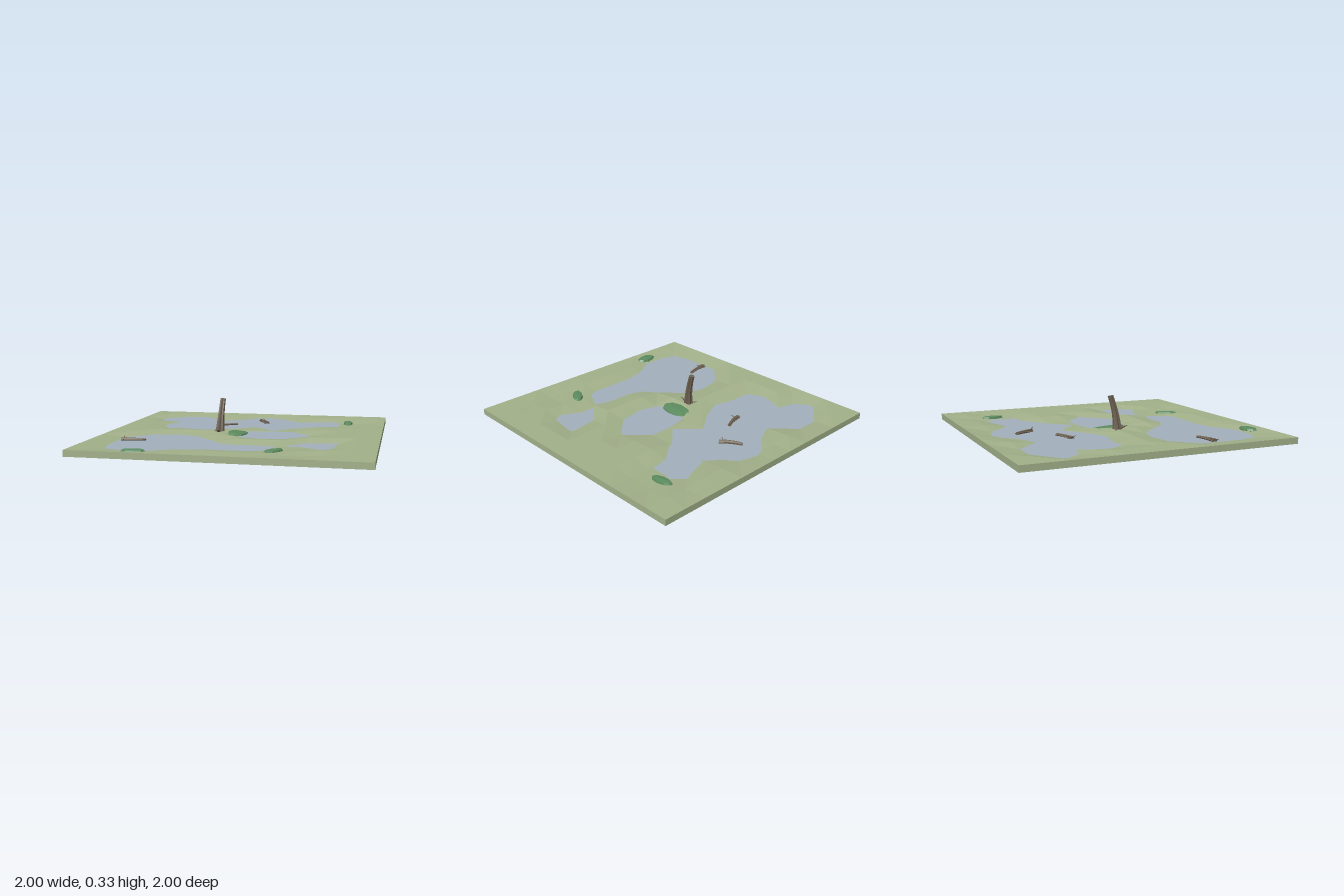
import * as THREE from 'three';

const material = (color, extra = {}) => new THREE.MeshStandardMaterial({ color, flatShading: true, ...extra });
const groundMat = material(0xa3b18a);
const waterMat = material(0xa3b1bd, { side: THREE.DoubleSide });
const rockMat = material(0x5c8c60);
const barkMat = material(0x6e6252);

const TOP = 0.09, BOTTOM = 0.045, STEP = 0.0045;

// Depth of the ground below the rim, one digit per grid corner, back to front
const DEPTHS = [
  '0000000000000',
  '0044035400200',
  '0588458746430',
  '0348888855420',
  '0068874540000',
  '0044533440000',
  '0000008884000',
  '0045404540000',
  '0488840005600',
  '0488875544500',
  '0488655532000',
  '0344100023100',
  '0000000000000',
];

function mesh(name, geometry, mat) {
  const m = new THREE.Mesh(geometry, mat);
  m.name = name;
  return m;
}

// Slab whose top face dips into hollows
function makeGround() {
  const geo = new THREE.BoxGeometry(2, TOP - BOTTOM, 2, 12, 1, 12);
  geo.translate(0, (TOP + BOTTOM) / 2, 0);
  const p = geo.attributes.position;
  for (let i = 0; i < p.count; i++) {
    if (p.getY(i) < TOP - 0.01) continue;
    const col = Math.round((p.getX(i) + 1) * 6), row = Math.round((p.getZ(i) + 1) * 6);
    p.setY(i, TOP - STEP * Number(DEPTHS[row][col]));
  }
  geo.computeVertexNormals();
  return mesh('ground', geo, groundMat);
}

// One level sheet that shows wherever the ground is lower
function makeWater() {
  const geo = new THREE.PlaneGeometry(1.9, 1.9).rotateX(-Math.PI / 2);
  const water = mesh('water', geo, waterMat);
  water.position.y = TOP - 4.15 * STEP;
  return water;
}

// Faceted flat boulder, long along its local z
function makeRock([x, y, z], [rx, ry, rz], turn, tiltX = 0, tiltZ = 0) {
  const profile = [[0, -1], [0.6, -0.85], [1, 0.2], [0.86, 0.8], [0, 1]]
    .map(([r, h]) => new THREE.Vector2(r, h));
  const geo = new THREE.LatheGeometry(profile, 9);
  geo.scale(rx, ry, rz);
  const rock = mesh('mossyRock', geo, rockMat);
  rock.position.set(x, y, z);
  rock.rotation.set(tiltX, turn, tiltZ, 'YXZ');
  return rock;
}

// Bent trunk with ridged bark, flared base and pointed roots
function makeTrunk(name, base, top, size) {
  const group = new THREE.Group();
  group.name = name;
  const height = 0.275;
  const geo = new THREE.CylinderGeometry(1, 1, 1, 14, 5);
  const p = geo.attributes.position;
  for (let i = 0; i < p.count; i++) {
    const t = p.getY(i) + 0.5, x = p.getX(i), z = p.getZ(i);
    const ridge = 1 + 0.13 * Math.cos(7 * Math.atan2(x, z));
    const r = (0.019 + 0.015 * (1 - t) ** 2) * ridge;
    p.setXYZ(i, x * r, t * height, z * r - 0.012 * Math.sin(t * Math.PI) * -1);
  }
  geo.computeVertexNormals();
  group.add(mesh('trunk', geo, barkMat));

  for (const [angle, length] of [[0, 0.085], [2.2, 0.05], [4.2, 0.055]]) {
    const cone = new THREE.ConeGeometry(0.014, length, 6);
    cone.translate(0, length / 2, 0).rotateX(Math.PI / 2 - 0.1);
    cone.translate(0, 0.025, 0.012).rotateY(angle);
    group.add(mesh('root', cone, barkMat));
  }
  const from = new THREE.Vector3(...base);
  const direction = new THREE.Vector3(...top).sub(from).normalize();
  group.quaternion.setFromUnitVectors(new THREE.Vector3(0, 1, 0), direction);
  group.position.copy(from);
  group.scale.setScalar(size);
  return group;
}

export function createModel() {
  const model = new THREE.Group();
  model.name = 'marsh';
  model.add(makeGround(), makeWater());

  // Large central boulder and three small ones
  model.add(
    makeRock([-0.06, 0.051, 0], [0.08, 0.042, 0.14], 0, -0.06, -0.1),
    makeRock([0.71, 0.065, -0.66], [0.038, 0.03, 0.088], 0.12),
    makeRock([0.335, 0.071, 0.71], [0.04, 0.025, 0.09], 2.55),
    makeRock([-0.557, 0.072, 0.9], [0.05, 0.025, 0.088], 1.65),
  );

  // Standing dead trunk and three floating logs
  model.add(
    makeTrunk('standingTrunk', [-0.198, 0.062, 0.012], [-0.182, 0.332, -0.035], 1),
    makeTrunk('backLog', [0.065, 0.066, -0.555], [-0.02, 0.076, -0.695], 0.6),
    makeTrunk('middleLog', [-0.315, 0.066, -0.39], [-0.16, 0.076, -0.445], 0.6),
    makeTrunk('frontLog', [-0.81, 0.07, 0.45], [-0.64, 0.074, 0.42], 0.64),
  );
  return model;
}
